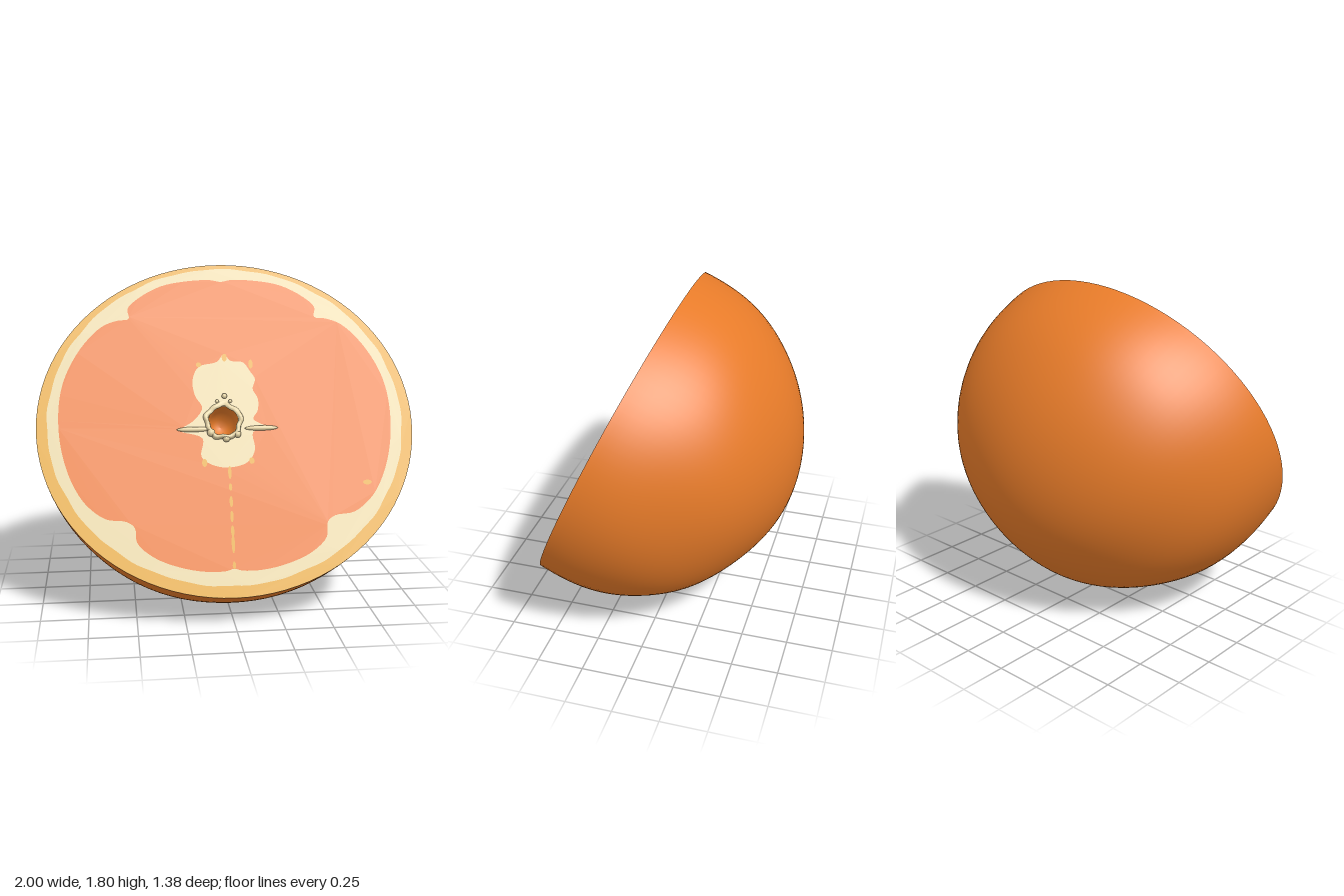
import * as THREE from 'three';

const TILT = -0.4315, MID_Y = 0.98, LEAN = 0.909, RY = 0.903, DEPTH = 1.02;

const mat = (name, color, side = THREE.FrontSide) => {
  const m = new THREE.MeshStandardMaterial({ color, side });
  m.name = name;
  return m;
};

// front-on heights are stretched onto the leaning cut face
const onFace = ([x, y]) => new THREE.Vector2(x, (y - MID_Y) / LEAN);

const ellipse = (cx, cy, rx, ry, n, wobble = 0) =>
  Array.from({ length: n }, (_, i) => {
    const a = (i / n) * Math.PI * 2;
    const w = 1 + wobble * (Math.sin(a * 17) + Math.sin(a * 29 + 1));
    return new THREE.Vector2(cx + Math.cos(a) * rx * w, cy + Math.sin(a) * ry * w);
  });

const smoothLoop = (pts, n) => {
  const curve = new THREE.CatmullRomCurve3(
    pts.map(p => new THREE.Vector3(p.x, p.y, 0)), true, 'centripetal');
  return curve.getPoints(n).slice(0, -1).map(p => new THREE.Vector2(p.x, p.y));
};

export function createModel() {
  const orange = mat('orange', 0xe77b29, THREE.DoubleSide);
  const cream = mat('cream pith', 0xe6d5a6);
  const yellow = mat('yellow rind', 0xe3aa32);

  const fruit = new THREE.Group();
  fruit.name = 'halfOrange';
  const add = (name, geometry, material, x = 0, y = 0, z = 0) => {
    const mesh = new THREE.Mesh(geometry, material);
    mesh.name = name;
    mesh.position.set(x, y, z);
    fruit.add(mesh);
    return mesh;
  };
  const flat = (name, outline, hole, material, z = 0) => {
    const shape = new THREE.Shape(outline);
    if (hole) shape.holes.push(new THREE.Path(hole));
    return add(name, new THREE.ShapeGeometry(shape), material, 0, 0, z);
  };

  // peel dome: half ellipsoid, fuller vertically and sagging a little behind the rim
  const profile = Array.from({ length: 41 }, (_, i) => {
    const a = (i / 40) * Math.PI / 2;
    return new THREE.Vector2(Math.sin(a), -DEPTH * Math.cos(a));
  });
  const dome = new THREE.LatheGeometry(profile, 96);
  dome.rotateX(Math.PI / 2);
  dome.scale(1, RY, 1);
  const pos = dome.attributes.position;
  for (let i = 0; i < pos.count; i++) {
    const x = pos.getX(i), y = pos.getY(i), z = pos.getZ(i);
    const back = THREE.MathUtils.smoothstep(-z, -0.1, 0.5) - THREE.MathUtils.smoothstep(0, -0.1, 0.5);
    const k = 1 + 0.003 * back * (Math.sin(x * 8 + z * 5) + Math.sin(y * 9 - z * 7));
    pos.setXYZ(i, x * k, y * k * (1 + 0.055 * back) - 0.02 * back, z * k);
  }
  dome.computeVertexNormals();
  add('peel', dome, orange);

  // outlines on the cut face
  const rim = ellipse(0, 0, 1, RY, 96);
  const rindEdge = ellipse(0, 0.018, 0.944, 0.861, 160, 0.002);
  const half = [
    [0.06, 1.722], [0.2, 1.715], [0.33, 1.69], [0.45, 1.63], [0.51, 1.575], [0.505, 1.525],
    [0.57, 1.515], [0.65, 1.485], [0.74, 1.405], [0.815, 1.3], [0.86, 1.2], [0.882, 1.09],
    [0.882, 0.95], [0.857, 0.82], [0.814, 0.71], [0.75, 0.616], [0.65, 0.545], [0.545, 0.53],
    [0.503, 0.5], [0.493, 0.43], [0.41, 0.36], [0.28, 0.31], [0.145, 0.285], [0.04, 0.285],
  ];
  const mirrored = half.map(([x, y]) => [-x, y]).reverse();
  const fleshEdge = smoothLoop(
    [[0, 1.712], ...half, [0, 0.295], ...mirrored].map(onFace), 200);
  const coreEdge = smoothLoop([
    [0, 1.34], [0.03, 1.305], [0.1, 1.295], [0.135, 1.25], [0.16, 1.21], [0.145, 1.16],
    [0.17, 1.11], [0.165, 1.05], [0.14, 1.01], [0.215, 0.965], [0.135, 0.945], [0.14, 0.86],
    [0.1, 0.8], [0, 0.775], [-0.09, 0.79], [-0.145, 0.83], [-0.135, 0.92], [-0.25, 0.96],
    [-0.175, 1.01], [-0.13, 1.07], [-0.165, 1.13], [-0.175, 1.21], [-0.14, 1.275], [-0.04, 1.3],
  ].map(onFace), 120);
  const HX = -0.02, HY = 0.025, HR = 0.08;
  const holeEdge = ellipse(HX, HY, HR, HR, 24);

  // concentric layers of the cut face
  flat('rindRing', rim, rindEdge, yellow);
  flat('pithRing', rindEdge, fleshEdge, cream);
  flat('flesh', fleshEdge, coreEdge, orange);
  flat('core', coreEdge, holeEdge, cream);

  // hollow in the core
  const well = new THREE.LatheGeometry(
    [[0, -0.17], [0.045, -0.16], [0.07, -0.1], [HR, 0]].map(p => new THREE.Vector2(...p)), 24);
  well.rotateX(Math.PI / 2);
  add('coreHollow', well, orange, HX, HY, 0);

  // ragged lip, thicker below, and crumbs of pith
  const lip = new THREE.TorusGeometry(0.09, 0.014, 8, 48);
  const lp = lip.attributes.position;
  for (let i = 0; i < lp.count; i++) {
    const a = Math.atan2(lp.getY(i), lp.getX(i));
    const k = 1 + 0.05 * Math.sin(a * 5) + 0.03 * Math.sin(a * 9 + 1);
    lp.setXYZ(i, lp.getX(i) * k, lp.getY(i) * k,
      lp.getZ(i) * (1.3 - 0.9 * Math.sin(a) + 0.3 * Math.sin(a * 7)));
  }
  lip.computeVertexNormals();
  add('pithLip', lip, cream, HX, HY, 0);
  [[-0.01, 1.125, 0.015], [0.02, 1.1, 0.01], [-0.05, 1.1, 0.01],
    [-0.09, 0.945, 0.022], [0.05, 0.935, 0.02], [-0.01, 0.915, 0.02]].forEach(([x, y, r]) => {
    const p = onFace([x, y]);
    add('pithCrumb', new THREE.IcosahedronGeometry(r, 1), cream, p.x, p.y, r * 0.5);
  });

  // slender folds of membrane either side of the core
  for (const s of [-1, 1]) {
    const fold = add('membraneFold', new THREE.SphereGeometry(1, 16, 8), cream, s * 0.18, -0.017, 0);
    fold.scale.set(0.09, 0.014, 0.014);
  }

  // yellow membrane line and flecks
  const fleck = (name, x, y, w, h) => {
    const p = onFace([x, y]);
    flat(name, ellipse(p.x, p.y, w, h, 10), null, yellow, 0.003);
  };
  [[0.75, 0.035], [0.68, 0.02], [0.61, 0.03], [0.54, 0.03], [0.47, 0.03], [0.41, 0.05], [0.31, 0.02]]
    .forEach(([y, h]) => fleck('membraneLine', 0, y, 0.009, h));
  [[0, 1.32, 0.014, 0.022], [0.14, 1.285, 0.012, 0.025], [-0.14, 1.285, 0.014, 0.014],
    [-0.13, 0.8, 0.014, 0.022], [0.12, 0.805, 0.014, 0.018], [0.73, 0.685, 0.024, 0.013]]
    .forEach(f => fleck('rindFleck', ...f));

  fruit.rotation.x = TILT;
  fruit.position.set(0, MID_Y, 0.3125);
  const model = new THREE.Group();
  model.name = 'cutOrange';
  model.add(fruit);
  return model;
}
